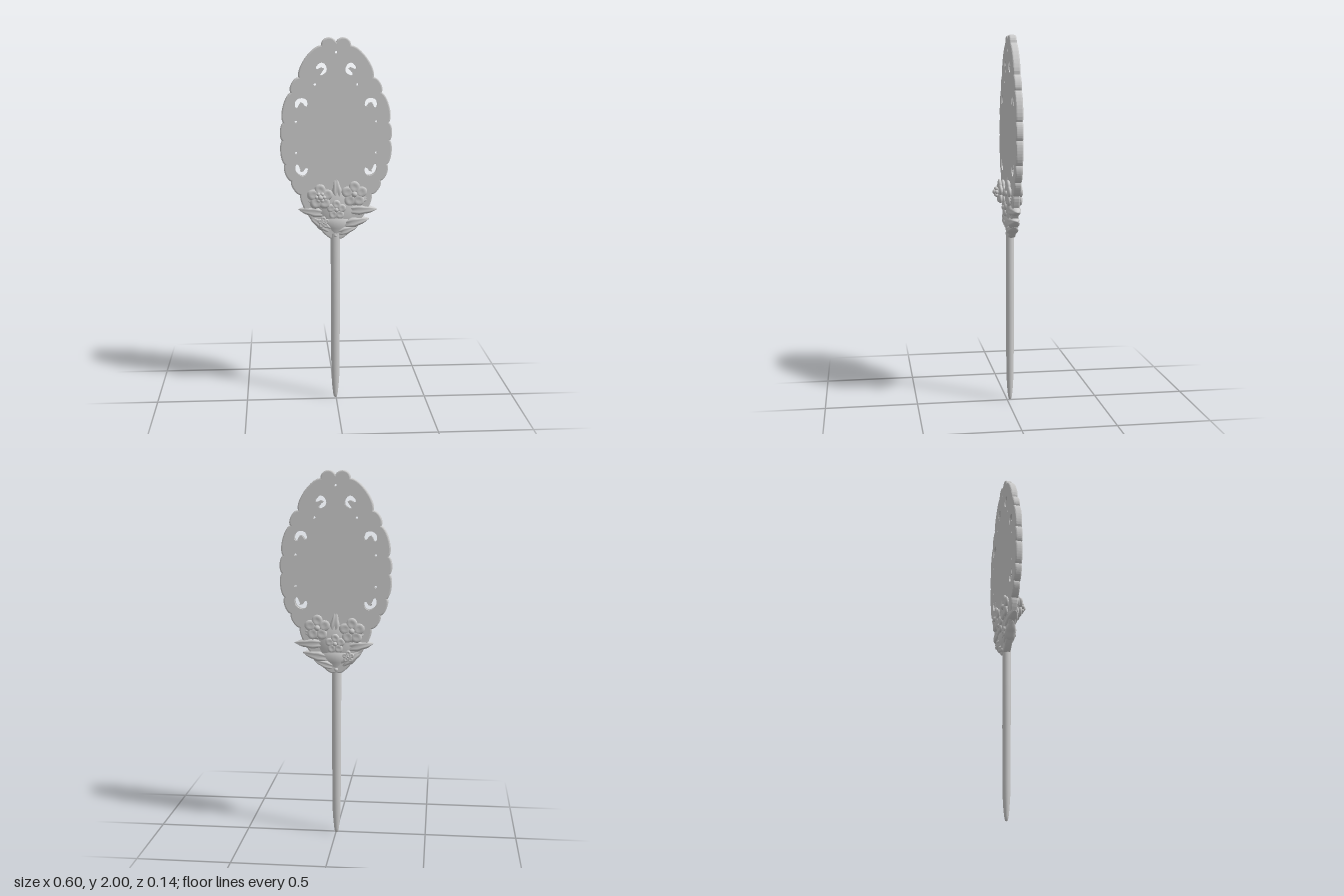
import * as THREE from 'three';

const MID = -0.02; // middle plane of the flat head
const material = new THREE.MeshStandardMaterial({ color: 0xcccccc, side: THREE.DoubleSide });

function add(parent, name, geometry, x = 0, y = 0, z = 0) {
  const mesh = new THREE.Mesh(geometry, material);
  mesh.name = name;
  mesh.position.set(x, y, z);
  parent.add(mesh);
  return mesh;
}

// Comma-shaped opening: a tapered band swept along a short curve
function commaHole(points, side) {
  const curve = new THREE.CatmullRomCurve3(points.map(([x, y]) => new THREE.Vector3(x * side, y, 0)));
  const left = [], right = [], n = 16;
  for (let i = 0; i <= n; i++) {
    const t = i / n, p = curve.getPoint(t), d = curve.getTangent(t);
    const r = 0.016 + 0.007 * Math.sin(t * Math.PI);
    left.push(new THREE.Vector2(p.x - d.y * r, p.y + d.x * r));
    right.unshift(new THREE.Vector2(p.x + d.y * r, p.y - d.x * r));
    // round caps at both ends
    if (i === n || i === 0) {
      const s = i ? 1 : -1, cap = new THREE.Vector2(p.x + d.x * r * s * 0.9, p.y + d.y * r * s * 0.9);
      if (i) left.push(cap); else left.unshift(cap);
    }
  }
  return new THREE.Path([...left, ...right]);
}

function dotHole(x, y, r = 0.015) {
  return new THREE.Path().absarc(x, y, r, 0, Math.PI * 2, true);
}

// Scalloped oval plate with pierced border
function plateGeometry() {
  const joints = [[0, 1.98], [0.08, 1.962], [0.2, 1.795], [0.243, 1.715], [0.284, 1.555],
    [0.29, 1.46], [0.277, 1.33], [0.243, 1.24], [0.195, 1.165], [0.1, 1.0], [0.025, 0.92]];
  const bulge = [0.032, 0.03, 0.018, 0.022, 0.014, 0.016, 0.016, 0.014, 0.02, 0.01];
  const all = [...joints.map((p, i) => [...p, bulge[i]])];
  const shape = new THREE.Shape();
  const arc = (a, b, h, s) => {
    const dx = b[0] - a[0], dy = b[1] - a[1], l = Math.hypot(dx, dy);
    // two control points give a full, rounded lobe
    const c = t => [a[0] + dx * t - (dy / l) * s * h * 1.33, a[1] + dy * t + (dx / l) * s * h * 1.33];
    shape.bezierCurveTo(...c(0.15), ...c(0.85), b[0], b[1]);
  };
  shape.moveTo(0, 1.98);
  for (let i = 0; i < all.length - 1; i++) arc(all[i], all[i + 1], all[i][2], 1);
  shape.lineTo(-0.025, 0.92);
  for (let i = all.length - 1; i > 0; i--) {
    const a = [-all[i][0], all[i][1]], b = [-all[i - 1][0], all[i - 1][1]];
    arc(a, b, all[i - 1][2], 1);
  }
  shape.holes.push(dotHole(0, 1.925));
  for (const s of [-1, 1]) {
    for (const [x, y] of [[0.113, 1.757], [0.215, 1.56], [0.215, 1.393]]) shape.holes.push(dotHole(s * x, y));
    shape.holes.push(
      commaHole([[0.105, 1.842], [0.077, 1.858], [0.062, 1.832], [0.085, 1.808]], s),
      commaHole([[0.212, 1.635], [0.203, 1.665], [0.172, 1.67], [0.157, 1.643]], s),
      commaHole([[0.212, 1.33], [0.203, 1.297], [0.174, 1.282], [0.157, 1.31]], s));
  }
  return new THREE.ExtrudeGeometry(shape, {
    depth: 0.024, bevelEnabled: true, bevelThickness: 0.008, bevelSize: 0.008,
    bevelOffset: -0.008, bevelSegments: 3, curveSegments: 10,
  }).translate(0, 0, -0.032);
}

// Pointed leaf lying along +y, with a sunken midrib and wavy edges
function leafGeometry(length, width, thick) {
  const g = new THREE.SphereGeometry(1, 20, 20);
  const p = g.attributes.position;
  for (let i = 0; i < p.count; i++) {
    const x = p.getX(i), y = p.getY(i), z = p.getZ(i);
    const t = (y + 1) / 2;
    const taper = (1 - 0.65 * t * t) * (1 + 0.08 * Math.sin(t * 18));
    const groove = 1 - 0.4 * Math.exp(-x * x * 30) * (1 - t * 0.5);
    p.setXYZ(i, x * width * taper, t * length, z * thick * groove * (1 - 0.3 * t));
  }
  g.computeVertexNormals();
  return g;
}

// Five cupped petals around a raised centre; facing +z, or -z when dir is -1
function flower(parent, name, x, y, z, r, dir, beads) {
  const group = new THREE.Group();
  group.name = name;
  group.position.set(x, y, z);
  if (dir < 0) group.rotation.y = Math.PI;
  for (let i = 0; i < 5; i++) {
    const a = Math.PI / 2 + (i * Math.PI * 2) / 5;
    const g = new THREE.SphereGeometry(1, 16, 12);
    const p = g.attributes.position;
    for (let k = 0; k < p.count; k++) {
      const u = p.getX(k), v = p.getY(k), w = p.getZ(k);
      const dish = w > 0 ? 1 - 0.65 * Math.exp(-3 * (u * u + v * v)) : 1;
      p.setXYZ(k, u * r * 0.44, v * r * 0.47, w * 0.014 * dish);
    }
    g.computeVertexNormals();
    const petal = add(group, 'petal', g, Math.cos(a) * r * 0.58, Math.sin(a) * r * 0.58, 0);
    petal.rotation.z = a - Math.PI / 2;
  }
  add(group, 'flowerCentre', new THREE.SphereGeometry(r * 0.24, 16, 12), 0, 0, 0.004);
  if (beads) {
    for (let i = 0; i < 6; i++) {
      const a = (i * Math.PI) / 3;
      add(group, 'bead', new THREE.SphereGeometry(0.0105, 12, 10), Math.cos(a) * 0.02, Math.sin(a) * 0.02, 0.018);
    }
    add(group, 'middleBead', new THREE.SphereGeometry(0.0145, 12, 10), 0, 0, 0.025);
  }
  parent.add(group);
}

export function createModel() {
  const model = new THREE.Group();
  add(model, 'plate', plateGeometry());

  // Round stick with a blunt point
  const profile = [[0, 0], [0.008, 0.004], [0.013, 0.025], [0.018, 0.07], [0.022, 0.13], [0.0235, 0.22],
    [0.025, 0.5], [0.026, 0.95], [0, 0.96]].map(([x, y]) => new THREE.Vector2(x, y));
  const stick = add(model, 'stick', new THREE.LatheGeometry(profile, 24), -0.004, 0, -0.016);
  stick.scale.z = 0.88;

  // Bouquet where plate and stick meet
  const bouquet = new THREE.Group();
  bouquet.name = 'bouquet';
  model.add(bouquet);
  const core = add(bouquet, 'bouquetCore', new THREE.SphereGeometry(1, 24, 18), 0, 1.09, MID);
  core.scale.set(0.11, 0.12, 0.036);
  const cup = add(bouquet, 'calyx', new THREE.LatheGeometry(
    [[0, 0.91], [0.03, 0.92], [0.037, 0.945], [0.052, 0.98], [0.08, 1.03], [0, 1.07]]
      .map(([x, y]) => new THREE.Vector2(x, y)), 24), 0, 0, MID);
  cup.scale.z = 0.5;

  // Leaves: base x, base y, tip x, tip y, half width
  const leaves = [
    [0.01, 1.12, -0.005, 1.275, 0.035], [0.05, 1.08, 0.225, 1.082, 0.036],
    [-0.05, 1.06, -0.205, 1.085, 0.036], [0.03, 1.0, 0.18, 1.03, 0.036],
    [-0.02, 0.96, -0.15, 1.05, 0.034], [0.0, 0.95, 0.12, 0.99, 0.028],
    [0.07, 1.12, 0.185, 1.15, 0.035], [-0.06, 1.1, -0.17, 1.15, 0.035],
  ];
  for (const [x0, y0, x1, y1, w] of leaves) {
    const leaf = add(bouquet, 'leaf', leafGeometry(Math.hypot(x1 - x0, y1 - y0), w, 0.04), x0, y0, MID);
    leaf.rotation.z = Math.atan2(-(x1 - x0), y1 - y0);
  }

  // Blossoms on both faces
  for (const dir of [1, -1]) {
    const side = dir > 0 ? 'front' : 'back';
    const z = MID + dir * 0.031;
    flower(bouquet, side + 'RightFlower', -0.09, 1.155, z, 0.068, dir, false);
    flower(bouquet, side + 'LeftFlower', 0.097, 1.17, z, 0.068, dir, false);
    flower(bouquet, side + 'MiddleFlower', 0, 1.085, z + dir * 0.003, 0.052, dir, false);
    flower(bouquet, side + 'SmallFlower', -0.07, 1.015, z - dir * 0.005, 0.032, dir, false);
    add(bouquet, side + 'Stud', new THREE.SphereGeometry(0.011, 12, 10), -0.004, 0.94, MID + dir * 0.019);
  }
  flower(bouquet, 'raisedFlower', -0.088, 1.16, 0.03, 0.066, 1, true);
  return model;
}
